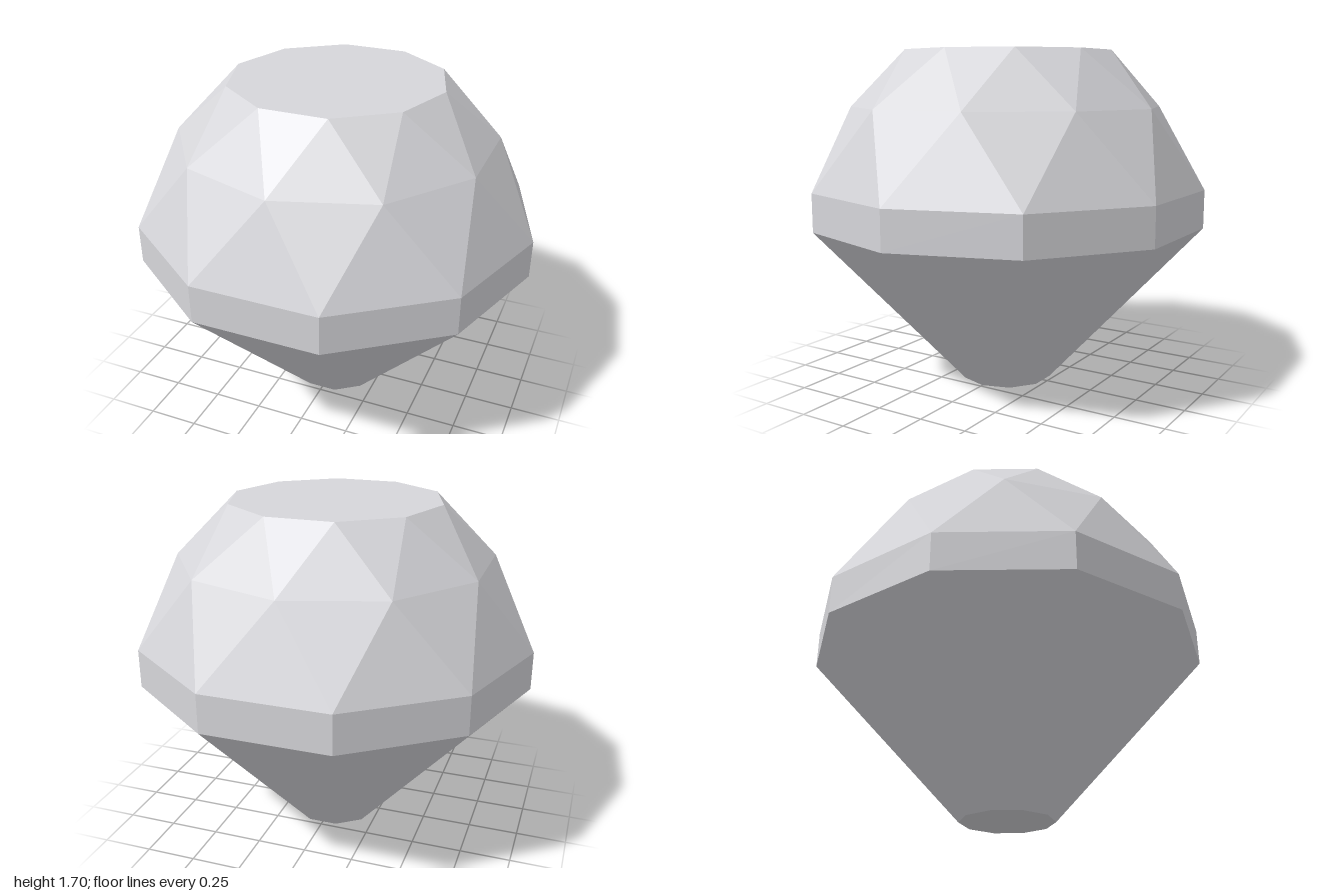
import * as THREE from 'three';

const SIDES = 10;

export function createModel() {
  const group = new THREE.Group();
  group.name = 'cutGem';

  const gemGrey = new THREE.MeshStandardMaterial({ color: 0xd6d6da, flatShading: true });
  gemGrey.name = 'gemGrey';

  const add = (name, geometry, y) => {
    const mesh = new THREE.Mesh(geometry, gemGrey);
    mesh.name = name;
    mesh.position.y = y;
    group.add(mesh);
    return mesh;
  };

  // Ten-sided open band with corners on the x axis
  const band = (name, topRadius, bottomRadius, bottom, top) =>
    add(name, new THREE.CylinderGeometry(topRadius, bottomRadius, top - bottom, SIDES, 1, true, Math.PI / 2),
      (bottom + top) / 2);

  band('pavilion', 1, 0.235, 0, 0.83);
  band('girdle', 1, 1, 0.83, 1.02);

  // Flat facets at the bottom and the top
  add('culet', new THREE.CircleGeometry(0.235, SIDES), 0).rotation.x = Math.PI / 2;
  add('table', new THREE.CircleGeometry(0.53, SIDES), 1.7).rotation.x = -Math.PI / 2;

  // Crown: kites on the girdle corners, triangles between them
  const ring = (radius, y) => (step) => {
    const a = (step / SIDES) * Math.PI * 2;
    return new THREE.Vector3(radius * Math.cos(a), y, radius * Math.sin(a));
  };
  const low = ring(1, 1.02);
  const mid = ring(0.79, 1.42);
  const high = ring(0.53, 1.7);
  const points = [];
  for (let k = 0; k < SIDES; k++) {
    const right = mid(k - 0.5);
    const left = mid(k + 0.5);
    points.push(
      low(k), right, left, // lower half of the kite
      left, right, high(k), // upper half of the kite
      low(k + 1), low(k), left, // girdle triangle
      left, high(k), high(k + 1), // star triangle
    );
  }
  const crown = new THREE.BufferGeometry().setFromPoints(points);
  crown.computeVertexNormals();
  add('crown', crown, 0);

  return group;
}
